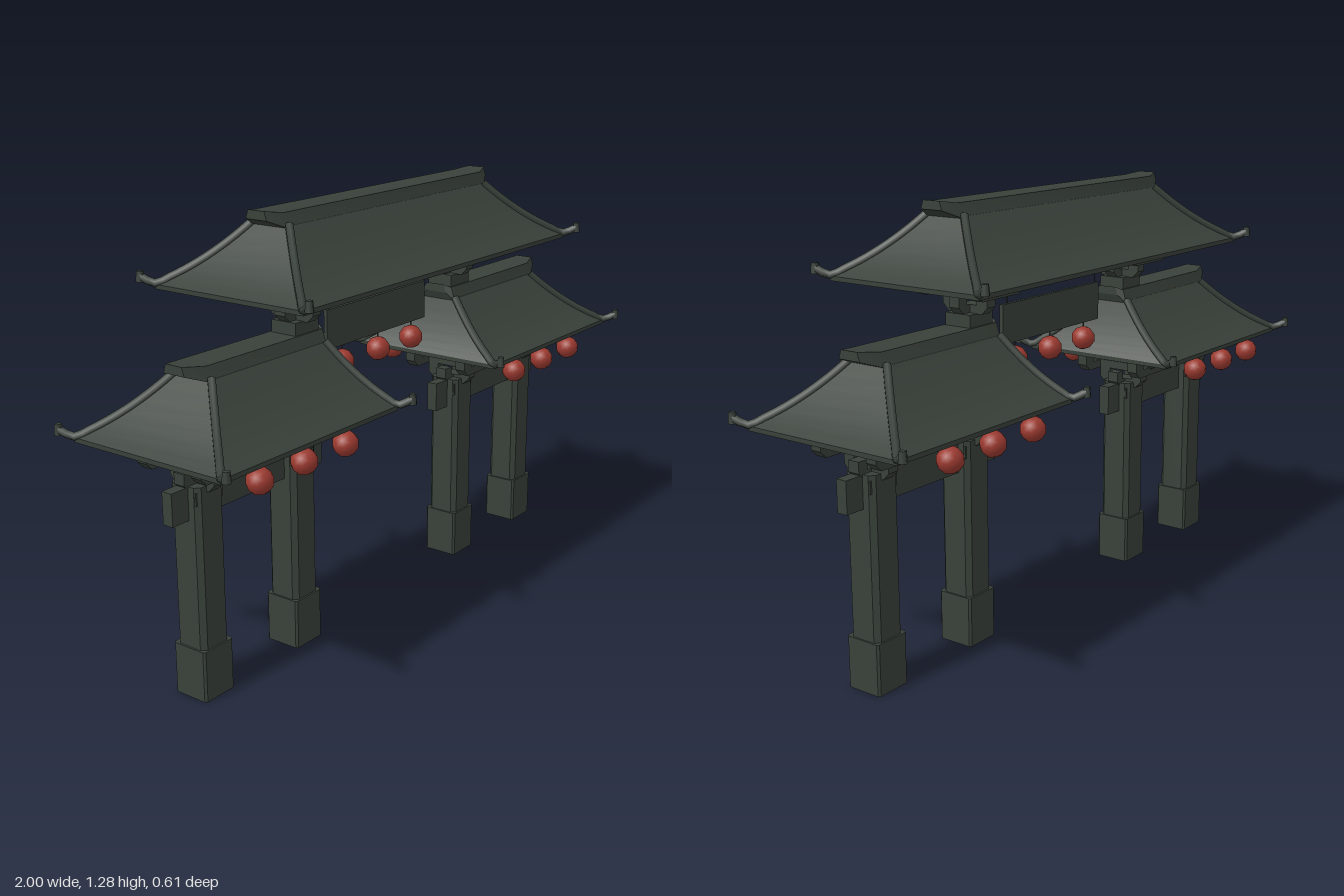
import * as THREE from 'three';
import { toCreasedNormals } from 'three/addons/utils/BufferGeometryUtils.js';

const darkTimber = new THREE.MeshStandardMaterial({ color: 0x39413a });
darkTimber.name = 'dark timber';
const lanternRed = new THREE.MeshStandardMaterial({ color: 0x9c3a30 });
lanternRed.name = 'lantern red';

function add(parent, name, geometry, x = 0, y = 0, z = 0, material = darkTimber) {
  const mesh = new THREE.Mesh(geometry, material);
  mesh.name = name;
  mesh.position.set(x, y, z);
  parent.add(mesh);
  return mesh;
}

// Skin over four-cornered rings, closed at both ends
function loft(rings) {
  const pos = [];
  const quad = (a, b, c, d) => pos.push(...a, ...b, ...c, ...a, ...c, ...d);
  for (let i = 0; i < rings.length - 1; i++) {
    const p = rings[i], q = rings[i + 1];
    for (let k = 0; k < 4; k++) quad(p[k], p[(k + 1) % 4], q[(k + 1) % 4], q[k]);
  }
  const s = rings[0], e = rings[rings.length - 1];
  quad(s[3], s[2], s[1], s[0]);
  quad(e[0], e[1], e[2], e[3]);
  const g = new THREE.BufferGeometry();
  g.setAttribute('position', new THREE.Float32BufferAttribute(pos, 3));
  g.computeVertexNormals();
  return toCreasedNormals(g, 0.4);
}

const level = (x0, x1, z, y) => [[x0, y, z], [x1, y, z], [x1, y, -z], [x0, y, -z]];

// Hipped roof with concave slopes; eave and top are [left x, right x, half depth]
function makeRoof(name, eave, top, yEave, yTop, ridgeEnds) {
  const roof = new THREE.Group();
  roof.name = name;
  const [e0, e1, ez] = eave, [t0, t1, tz] = top;
  const mix = THREE.MathUtils.lerp;
  const slope = [];
  for (let i = 0; i <= 6; i++) {
    const u = i / 6;
    slope.push([mix(e0, t0, u), mix(e1, t1, u), mix(ez, tz, u),
      mix(yEave, yTop, 0.6 * u + 0.4 * u * u)]);
  }
  // Recessed ceiling, rim, fascia and slopes
  const r = 0.025;
  add(roof, 'roofSlopes', loft([
    level(e0 + r, e1 - r, ez - r, yEave + 0.002),
    level(e0 + r, e1 - r, ez - r, yEave - 0.013),
    level(e0, e1, ez, yEave - 0.013),
    ...slope.map((s) => level(...s)),
  ]));

  // Hip ridges with upturned tips
  for (const side of [0, 1]) {
    for (const sz of [1, -1]) {
      const sx = side ? 1 : -1;
      const tip = new THREE.Vector3(slope[0][side] + sx * 0.02, yEave + 0.021, sz * (ez + 0.036));
      const pts = [tip, ...slope.map((s) => new THREE.Vector3(s[side], s[3] + 0.003, sz * s[2]))];
      add(roof, 'hipRidge', new THREE.TubeGeometry(
        new THREE.CatmullRomCurve3(pts), 16, 0.012, 6, false));
      add(roof, 'hipTip', new THREE.CylinderGeometry(0.01, 0.013, 0.03, 6), tip.x, tip.y, tip.z);
    }
  }

  // Ridge cap with narrowed, lifted ends
  const section = (x, h, yb, yt) =>
    [[x, yb, -h], [x, yt, -h * 0.78], [x, yt, h * 0.78], [x, yb, h]];
  add(roof, 'ridgeCap', loft([
    section(ridgeEnds[0], 0.036, yTop + 0.018, yTop + 0.043),
    section(t0 - 0.005, 0.063, yTop - 0.006, yTop + 0.035),
    section(t1 + 0.005, 0.063, yTop - 0.006, yTop + 0.035),
    section(ridgeEnds[1], 0.036, yTop + 0.018, yTop + 0.043),
  ]));
  return roof;
}

// Upturned bracket arm running along x
function armGeometry(half, height, width, depth = 0.036) {
  const bar = 0.025, c = 0.02;
  const shape = new THREE.Shape([
    [-half + c, 0], [half - c, 0], [half, c], [half, height], [half - width, height],
    [half - width, bar], [width - half, bar], [width - half, height], [-half, height], [-half, c],
  ].map(([x, y]) => new THREE.Vector2(x, y)));
  return new THREE.ExtrudeGeometry(shape, { depth, bevelEnabled: false })
    .translate(0, 0, -depth / 2);
}

// Two-tier bracket set
function makeBracket(x, y) {
  const set = new THREE.Group();
  set.name = 'bracketSet';
  set.position.set(x, y, 0);
  add(set, 'bracketBase', new THREE.BoxGeometry(0.1, 0.036, 0.086), 0, 0.018, 0);
  add(set, 'lowerCrossArm', armGeometry(0.064, 0.052, 0.034), 0, 0.034, 0);
  add(set, 'lowerFrontArm', armGeometry(0.078, 0.052, 0.036).rotateY(Math.PI / 2), 0, 0.034, 0);
  add(set, 'upperFrontArm', armGeometry(0.116, 0.06, 0.036).rotateY(Math.PI / 2), 0, 0.085, 0);
  for (const z of [0.096, -0.096]) {
    add(set, 'outerCrossArm', armGeometry(0.1, 0.062, 0.042, 0.034), 0, 0.084, z);
    add(set, 'bearingBlock', new THREE.BoxGeometry(0.055, 0.036, 0.034), 0, 0.128, z);
  }
  return set;
}

// Square prism with chamfered upright edges, standing on y = 0
function postGeometry(width, height, c) {
  const w = width / 2;
  const shape = new THREE.Shape([
    [-w + c, -w], [w - c, -w], [w, -w + c], [w, w - c],
    [w - c, w], [-w + c, w], [-w, w - c], [-w, -w + c],
  ].map(([x, y]) => new THREE.Vector2(x, y)));
  return new THREE.ExtrudeGeometry(shape, { depth: height, bevelEnabled: false })
    .rotateX(-Math.PI / 2);
}

function makeLantern(x, y, z, cordTop) {
  const lantern = new THREE.Group();
  lantern.name = 'lantern';
  lantern.position.set(x, y, z);
  add(lantern, 'lanternBody', new THREE.IcosahedronGeometry(0.037, 1), 0, 0, 0, lanternRed);
  const length = cordTop - y;
  add(lantern, 'lanternCord', new THREE.BoxGeometry(0.003, length, 0.003), 0, length / 2, 0);
  return lantern;
}

export function createModel() {
  const gate = new THREE.Group();
  gate.name = 'gateway';

  for (const s of [-1, 1]) {
    // Columns with plinths and brackets
    for (const x of [0.79, 0.41]) {
      add(gate, 'columnPlinth', postGeometry(0.113, 0.148, 0.006), s * x, 0, 0);
      add(gate, 'columnShaft', postGeometry(0.102, 0.61, 0.014), s * x, 0, 0);
      gate.add(makeBracket(s * x, 0.56));
    }
    add(gate, 'tieBeam', new THREE.BoxGeometry(0.605, 0.092, 0.034), s * 0.598, 0.562, 0);
    gate.add(makeBracket(s * 0.382, 0.925));

    // Side roof: long outer hip, steep inner hip
    const span = (outer, inner) => (s < 0 ? [-outer, -inner] : [inner, outer]);
    gate.add(makeRoof('sideRoof', [...span(0.968, 0.252), 0.257],
      [...span(0.785, 0.328), 0.062], 0.722, 0.89, span(0.855, 0.312)));

    // Lanterns under the side eaves
    for (const z of [0.237, -0.237]) {
      for (const dx of [-0.173, 0, 0.173]) {
        gate.add(makeLantern((s < 0 ? -0.637 : 0.58) + dx, 0.667, z, 0.715));
      }
    }
  }

  // Central roof
  gate.add(makeRoof('centralRoof', [-0.655, 0.655, 0.257], [-0.472, 0.472, 0.062],
    1.07, 1.235, [-0.532, 0.532]));

  // Hanging board and its lanterns
  add(gate, 'hangingBoard', new THREE.BoxGeometry(0.487, 0.117, 0.012), -0.005, 0.898, 0);
  for (const x of [-0.235, 0.213]) {
    add(gate, 'boardCord', new THREE.BoxGeometry(0.003, 0.12, 0.003), x, 1.013, 0);
  }
  for (const x of [-0.174, 0.002, 0.174]) gate.add(makeLantern(x, 0.79, 0, 0.845));

  return gate;
}
